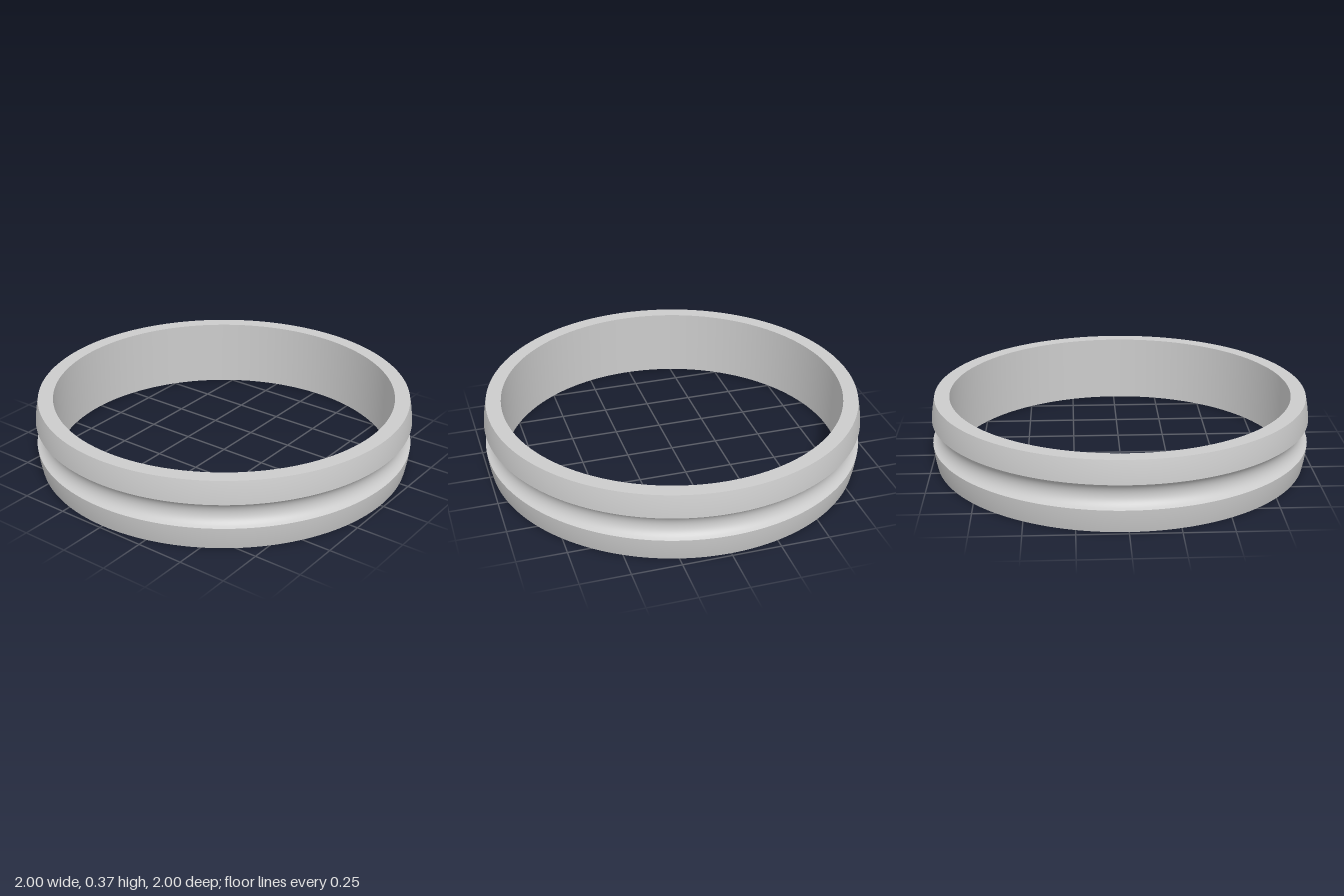
import * as THREE from 'three';

const HEIGHT = 0.365, MID = HEIGHT / 2, INNER = 0.903, RIM = 0.982;
const HALF_GROOVE = 0.064, GROOVE_DEPTH = 0.042;

// Sample a radius rule r(y) between two heights
function sample(y0, y1, steps, radiusAt) {
  return Array.from({ length: steps + 1 }, (_, i) => {
    const y = y0 + (y1 - y0) * i / steps;
    return new THREE.Vector2(radiusAt(y), y);
  });
}

// Gentle barrel curve, widest at the groove edges
function barrel(y) {
  const d = (y - MID) ** 2, edge = HALF_GROOVE ** 2;
  return 1 - (1 - RIM) * (d - edge) / (MID ** 2 - edge);
}

// Circular arc cut into the band
function groove(y) {
  const R = (HALF_GROOVE ** 2 + GROOVE_DEPTH ** 2) / (2 * GROOVE_DEPTH);
  return 1 - GROOVE_DEPTH + R - Math.sqrt(R * R - (y - MID) ** 2);
}

export function createModel() {
  const group = new THREE.Group();
  group.name = 'ring';
  const material = new THREE.MeshStandardMaterial({ color: 0xcccccc });
  const v = (r, y) => new THREE.Vector2(r, y);

  // Separate lathes keep the edges between surfaces sharp
  const parts = {
    lowerBand: sample(0, MID - HALF_GROOVE, 10, barrel),
    groove: sample(MID - HALF_GROOVE, MID + HALF_GROOVE, 20, groove),
    upperBand: sample(MID + HALF_GROOVE, HEIGHT, 10, barrel),
    topRim: [v(RIM, HEIGHT), v(INNER, HEIGHT)],
    innerWall: [v(INNER, HEIGHT), v(INNER, 0)],
    bottomRim: [v(INNER, 0), v(RIM, 0)],
  };
  for (const [name, profile] of Object.entries(parts)) {
    const mesh = new THREE.Mesh(new THREE.LatheGeometry(profile, 160), material);
    mesh.name = name;
    group.add(mesh);
  }
  return group;
}
